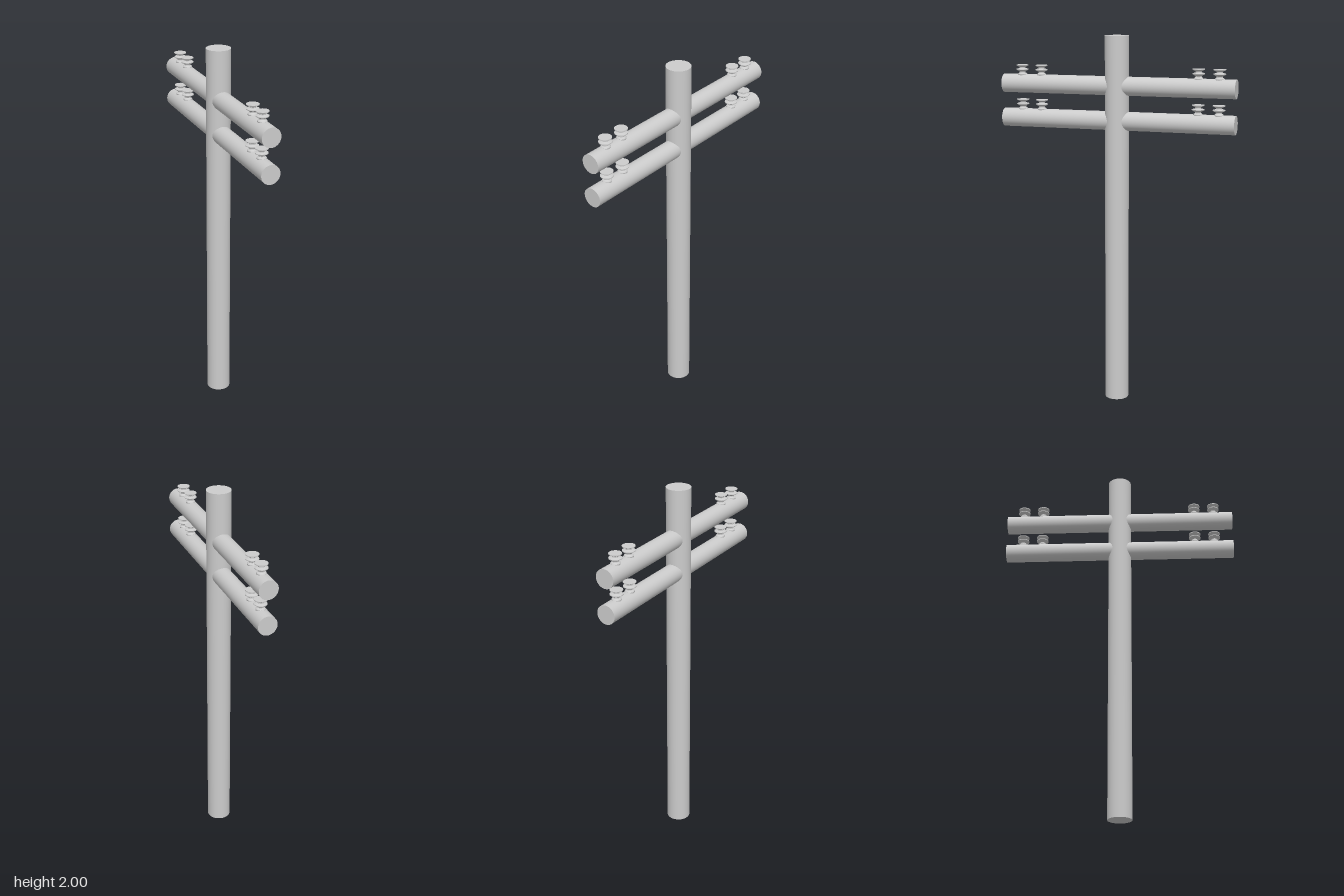
import * as THREE from 'three';

const material = new THREE.MeshStandardMaterial({ color: 0xcccccc });

function addMesh(parent, name, geometry, x = 0, y = 0, z = 0) {
  const mesh = new THREE.Mesh(geometry, material);
  mesh.name = name;
  mesh.position.set(x, y, z);
  parent.add(mesh);
  return mesh;
}

// Insulator: three stacked flared sheds on a narrow core, [radius, height]
function insulatorGeometry() {
  const profile = [
    [0, 0.03], [0.022, 0.03], [0.025, 0.05], [0.022, 0.054], [0.016, 0.058],
    [0.016, 0.063], [0.033, 0.073], [0.033, 0.077], [0.016, 0.082],
    [0.016, 0.087], [0.033, 0.096], [0.033, 0.1], [0, 0.1],
  ];
  // Doubled corner points keep the shed edges crisp
  const points = profile.flatMap(([r, y]) => [new THREE.Vector2(r, y), new THREE.Vector2(r, y)]);
  const parts = new THREE.LatheGeometry(points, 32).toNonIndexed();
  parts.computeVertexNormals();
  return parts;
}

export function createModel() {
  const model = new THREE.Group();
  model.name = 'utilityPole';

  // Upright pole
  addMesh(model, 'pole', new THREE.CylinderGeometry(0.064, 0.064, 2, 48), 0, 1, 0);

  // Two crossarms, each carrying four insulators
  const armGeometry = new THREE.CylinderGeometry(0.05, 0.05, 1.28, 48).rotateX(Math.PI / 2);
  const insulator = insulatorGeometry();
  [['lowerCrossarm', 1.552], ['upperCrossarm', 1.737]].forEach(([name, y]) => {
    const group = new THREE.Group();
    group.name = name;
    group.position.y = y;
    addMesh(group, 'crossarmBeam', armGeometry);
    for (const z of [0.535, 0.425, -0.44, -0.55]) addMesh(group, 'insulator', insulator, 0, 0, z);
    model.add(group);
  });

  return model;
}
